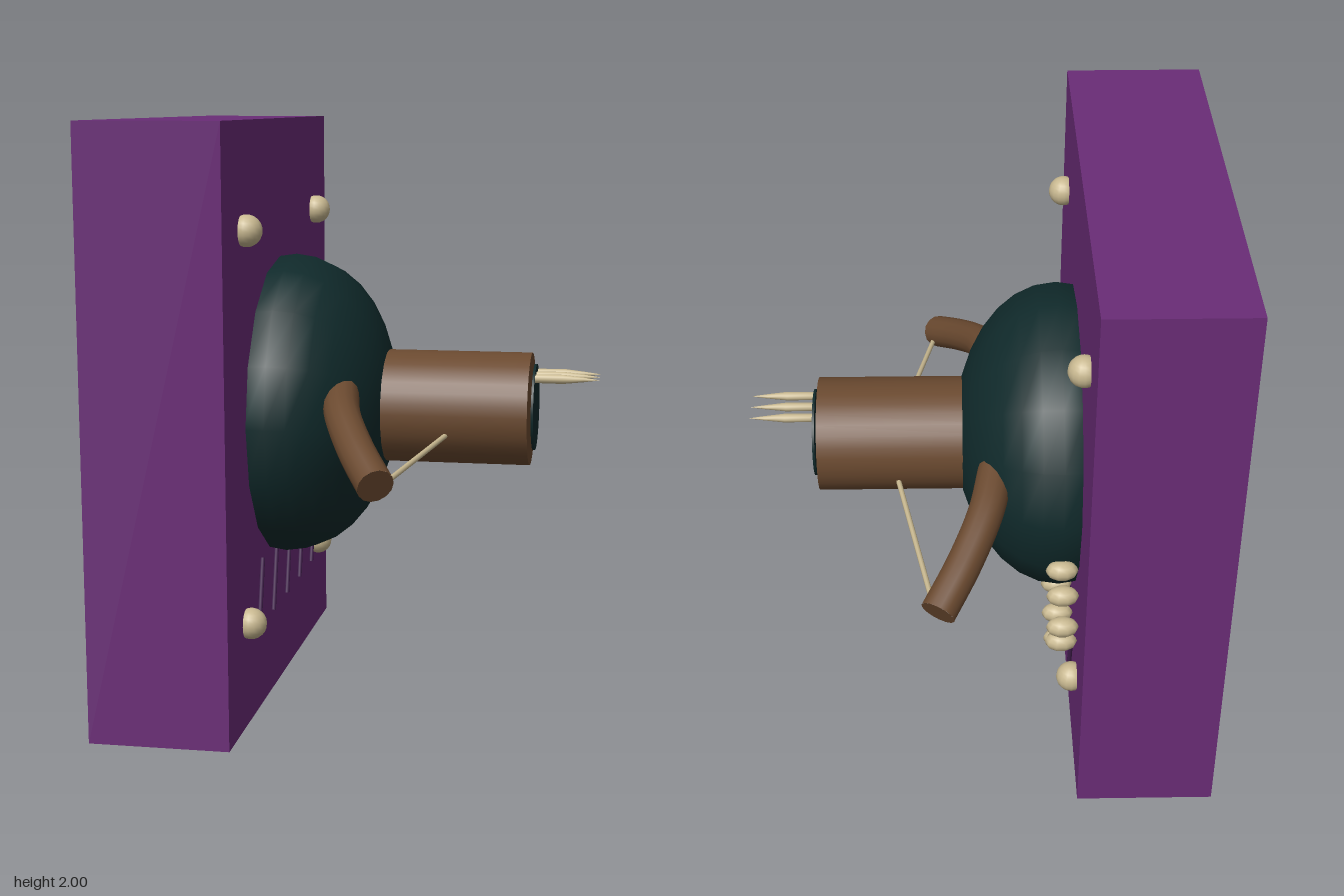
import * as THREE from 'three';

const mat = (name, color, side = THREE.FrontSide) => {
  const m = new THREE.MeshStandardMaterial({ color, side });
  m.name = name;
  return m;
};

export function createModel() {
  const purple = mat('purple panel', 0x6a2c77);
  const darkPurple = mat('dark purple', 0x43204f);
  const teal = mat('dark teal', 0x102a2b);
  const wood = mat('brown wood', 0x6b4a30);
  const bone = mat('bone', 0xc8b890);

  const model = new THREE.Group();
  const add = (name, geometry, material, x = 0, y = 0, z = 0, parent = model) => {
    const mesh = new THREE.Mesh(geometry, material);
    mesh.name = name;
    mesh.position.set(x, y, z);
    parent.add(mesh);
    return mesh;
  };
  const group = (name) => {
    const g = new THREE.Group();
    g.name = name;
    model.add(g);
    return g;
  };
  // Straight rod between two points
  const rod = (name, a, b, r, material, parent) => {
    const from = new THREE.Vector3(...a), to = new THREE.Vector3(...b);
    const dir = to.clone().sub(from);
    const mid = from.clone().add(to).multiplyScalar(0.5);
    const mesh = add(name, new THREE.CylinderGeometry(r, r, dir.length(), 8), material, mid.x, mid.y, mid.z, parent);
    mesh.quaternion.setFromUnitVectors(new THREE.Vector3(0, 1, 0), dir.normalize());
  };

  // Back panel
  add('panel', new THREE.BoxGeometry(0.47, 2, 1.625), purple, -0.565, 1, 0);

  // Faceted-outline dome, sunk into the panel
  const dome = new THREE.SphereGeometry(1, 16, 16).rotateZ(-Math.PI / 2).scale(0.355, 0.528, 0.55);
  add('dome', dome, teal, -0.27, 1.003, 0);

  // Barrel with a dark mouth plate
  const barrel = new THREE.CylinderGeometry(0.196, 0.196, 0.66, 32).rotateZ(-Math.PI / 2).scale(1, 1, 1.04);
  add('barrel', barrel, wood, 0.23, 1.003, 0);
  const mouth = new THREE.CylinderGeometry(0.15, 0.15, 0.008, 32).rotateZ(-Math.PI / 2).scale(1, 1, 1.03);
  add('mouth', mouth, teal, 0.573, 1.01, 0);

  // Three pointed bolts
  const bolts = group('bolts');
  const boltProfile = [[0, 0], [0.015, 0], [0.016, 0.1], [0.008, 0.17], [0, 0.226]].map(p => new THREE.Vector2(...p));
  const bolt = new THREE.LatheGeometry(boltProfile, 10).rotateZ(-Math.PI / 2);
  for (const z of [-0.065, 0, 0.065]) add('bolt', bolt, bone, 0.572, 1.12, z, bolts);

  // Bow arms and strings, mirrored front to back
  for (const s of [1, -1]) {
    const arm = group(s > 0 ? 'frontArm' : 'backArm');
    const pts = [[-0.05, 1.095, 0.34], [-0.015, 1.05, 0.5], [0.06, 0.97, 0.67], [0.145, 0.892, 0.815]]
      .map(([x, y, z]) => new THREE.Vector3(x, y, z * s));
    const curve = new THREE.CatmullRomCurve3(pts);
    add('limb', new THREE.TubeGeometry(curve, 16, 0.06, 14), wood, 0, 0, 0, arm);
    // Closed ends
    for (const t of [0, 1]) {
      const p = curve.getPoint(t);
      const cap = add('limbEnd', new THREE.CircleGeometry(0.06, 14), wood, p.x, p.y, p.z, arm);
      const out = curve.getTangent(t).multiplyScalar(t ? 1 : -1);
      cap.quaternion.setFromUnitVectors(new THREE.Vector3(0, 0, 1), out);
    }
    rod('string', [0.165, 0.889, 0.75 * s], [0.285, 0.935, 0.17 * s], 0.009, bone, arm);
  }

  // Corner studs
  const studs = group('studs');
  const stud = new THREE.SphereGeometry(0.052, 16, 12);
  for (const y of [0.355, 1.652])
    for (const z of [-0.565, 0.565]) add('stud', stud, bone, -0.312, y, z, studs);

  // Arc of beads below the dome
  const beads = group('beads');
  const bead = new THREE.SphereGeometry(1, 10, 8).scale(0.055, 0.035, 0.037);
  const beadSpots = [[0.81, -0.525], [0.753, -0.589], [0.647, -0.626], [0.547, -0.589],
    [0.478, -0.5], [0.483, -0.377], [0.541, -0.287]];
  for (const [y, z] of beadSpots) add('bead', bead, bone, -0.27, y, z, beads);

  // Row of slanted ribs
  const ribs = group('ribs');
  for (let i = 0; i < 5; i++) {
    const z = 0.378 - i * 0.219;
    rod('rib', [-0.315, 0.53, z], [-0.315, 0.3, z + 0.062], 0.008, darkPurple, ribs);
  }

  return model;
}
